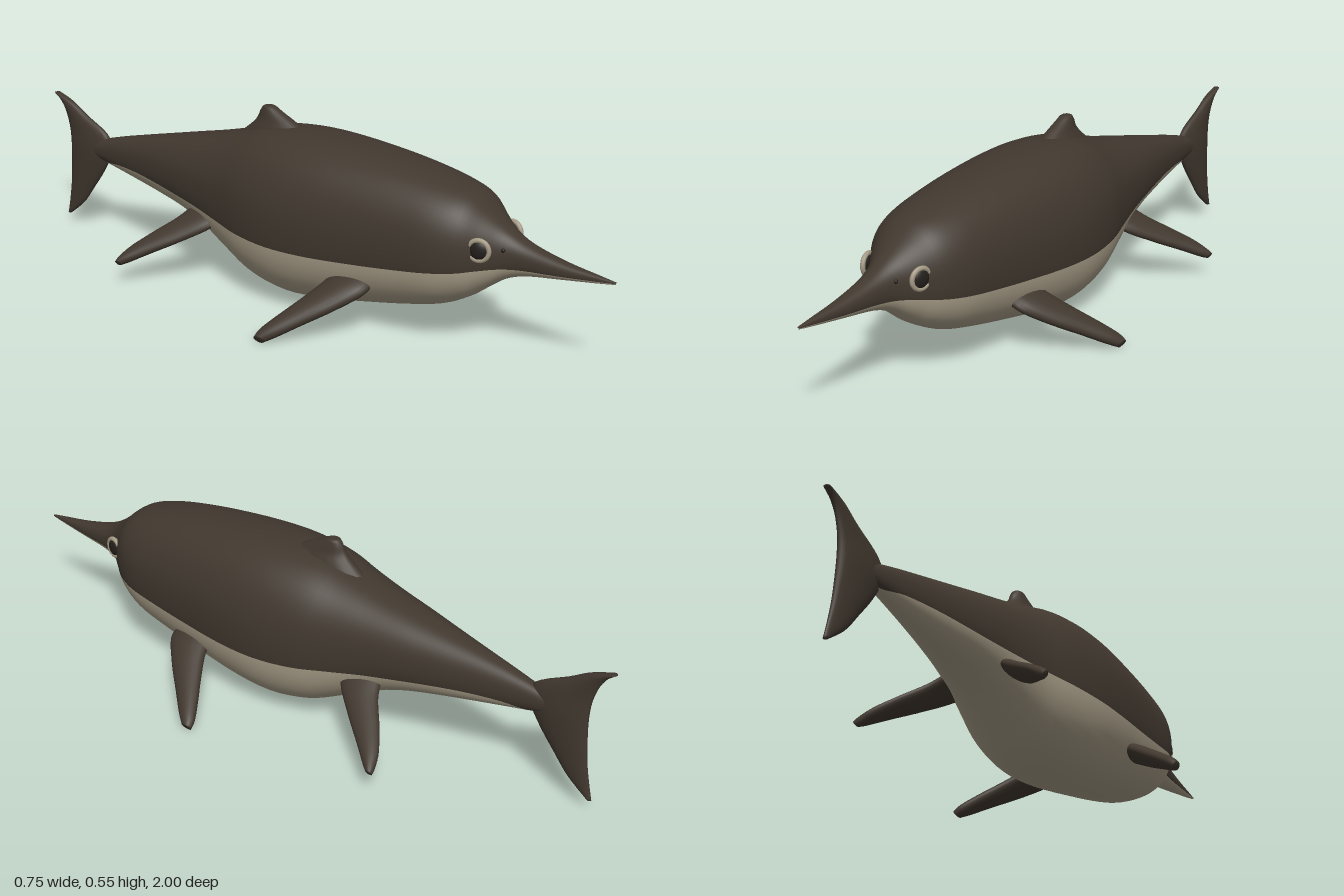
import * as THREE from 'three';

const mat = (name, color) => Object.assign(new THREE.MeshStandardMaterial({ color }), { name });

// Smooth rows of numbers with a uniform Catmull-Rom spline, n steps per span
function smooth(rows, n) {
  const out = [];
  const at = i => rows[Math.max(0, Math.min(rows.length - 1, i))];
  for (let i = 0; i < rows.length - 1; i++) {
    for (let k = 0; k < n; k++) {
      const t = k / n;
      out.push(rows[i].map((b, c) => {
        const a = at(i - 1)[c], d = at(i + 1)[c], e = at(i + 2)[c];
        return b + 0.5 * t * (d - a + t * (2 * a - 5 * b + 4 * d - e + t * (3 * (b - d) + e - a)));
      }));
    }
  }
  out.push(rows[rows.length - 1]);
  return out;
}

// Join equal closed rings; columns below `split` go in group 0, the rest in group 1
function loft(rings, split) {
  const m = rings[0].length;
  const index = [[], []];
  for (let i = 0; i < rings.length - 1; i++) {
    for (let j = 0; j < m; j++) {
      const a = i * m + j, b = i * m + (j + 1) % m;
      index[j < split ? 0 : 1].push(a, a + m, b, b, a + m, b + m);
    }
  }
  const geo = new THREE.BufferGeometry();
  geo.setAttribute('position', new THREE.Float32BufferAttribute(rings.flat(2), 3));
  geo.setIndex([...index[0], ...index[1]]);
  geo.addGroup(0, index[0].length, 0);
  geo.addGroup(index[0].length, index[1].length, 1);
  geo.computeVertexNormals();
  return geo;
}

// Lens-shaped fin; rows are [x, y, leading z, trailing z, half thickness] from root to tip
function fin(rows) {
  const first = rows[0], last = rows[rows.length - 1];
  const d = new THREE.Vector2(last[0] - first[0], last[1] - first[1]).normalize();
  const sections = smooth(rows, 5);
  const close = r => [r[0], r[1], (r[2] + r[3]) / 2, (r[2] + r[3]) / 2, 0];
  const all = [close(first), ...sections, close(last)];
  const rings = all.map(([x, y, lead, trail, th]) => {
    const ring = [];
    for (let j = 0; j < 20; j++) {
      const t = j / 20 * Math.PI * 2, s = Math.sin(t) * th;
      ring.push([x - d.y * s, y + d.x * s, (lead + trail) / 2 + (lead - trail) / 2 * Math.cos(t)]);
    }
    return ring;
  });
  return loft(rings, 20);
}

// Body stations: [z, top, bottom, half width, height of the colour line]
const BODY = [
  [1.0, 0.286, 0.280, 0.003, 0.283], [0.95, 0.293, 0.272, 0.010, 0.279],
  [0.85, 0.307, 0.258, 0.024, 0.272], [0.75, 0.332, 0.243, 0.038, 0.267],
  [0.69, 0.362, 0.222, 0.056, 0.262], [0.64, 0.400, 0.187, 0.092, 0.256],
  [0.59, 0.440, 0.150, 0.130, 0.249], [0.52, 0.463, 0.115, 0.157, 0.242],
  [0.42, 0.483, 0.088, 0.172, 0.232], [0.3, 0.499, 0.063, 0.186, 0.222],
  [0.15, 0.511, 0.036, 0.201, 0.213], [0.02, 0.512, 0.025, 0.203, 0.211],
  [-0.1, 0.499, 0.045, 0.186, 0.216], [-0.2, 0.470, 0.090, 0.157, 0.226],
  [-0.3, 0.443, 0.143, 0.130, 0.238], [-0.4, 0.420, 0.180, 0.107, 0.248],
  [-0.5, 0.397, 0.202, 0.083, 0.258], [-0.6, 0.374, 0.220, 0.060, 0.265],
  [-0.7, 0.350, 0.238, 0.040, 0.265], [-0.78, 0.328, 0.253, 0.026, 0.256],
  [-0.86, 0.305, 0.272, 0.014, 0.272], [-0.91, 0.291, 0.287, 0.002, 0.287],
];

function bodyGeometry() {
  const UP = 32, LOW = 24, N = 2.3;
  const power = v => Math.sign(v) * Math.abs(v) ** (2 / N);
  const rings = smooth(BODY, 4).map(([z, top, bottom, w, line]) => {
    const c = (top + bottom) / 2, h = (top - bottom) / 2;
    const u = Math.max(-0.97, Math.min(0.97, (line - c) / h));
    const a0 = Math.asin(Math.sign(u) * Math.abs(u) ** (N / 2));
    const ring = [];
    for (let j = 0; j < UP + LOW; j++) {
      const a = j < UP
        ? a0 + (Math.PI - 2 * a0) * j / UP
        : Math.PI - a0 + (Math.PI + 2 * a0) * (j - UP) / LOW;
      ring.push([w * power(Math.cos(a)), c + h * power(Math.sin(a)), z]);
    }
    return ring;
  });
  return loft(rings, UP);
}

export function createModel() {
  const model = new THREE.Group();
  model.name = 'marineReptile';
  const skin = mat('darkSkin', 0x41382f);
  const belly = mat('paleBelly', 0xaca18b);
  const ringMat = mat('eyeRing', 0xa59a86);
  const pupil = mat('eyeDark', 0x24201c);
  const add = (name, geo, material, parent = model) => {
    const mesh = new THREE.Mesh(geo, material);
    mesh.name = name;
    parent.add(mesh);
    return mesh;
  };

  add('body', bodyGeometry(), [skin, belly]);

  // Crescent tail, from lower to upper tip
  add('tailFin', fin([
    [0, 0.040, -0.955, -0.968, 0.006], [0, 0.090, -0.893, -0.957, 0.010],
    [0, 0.150, -0.845, -0.946, 0.014], [0, 0.220, -0.793, -0.939, 0.019],
    [0, 0.285, -0.760, -0.936, 0.022], [0, 0.340, -0.775, -0.940, 0.019],
    [0, 0.390, -0.865, -0.954, 0.015], [0, 0.425, -0.925, -0.975, 0.013],
    [0, 0.445, -0.982, -1.000, 0.010],
  ]), skin);

  // Low swept-back fin on the back
  add('dorsalFin', fin([
    [0, 0.440, 0.060, -0.250, 0.055], [0, 0.490, 0.020, -0.185, 0.040],
    [0, 0.515, -0.020, -0.160, 0.029], [0, 0.538, -0.068, -0.148, 0.022],
    [0, 0.552, -0.095, -0.138, 0.017], [0, 0.556, -0.105, -0.130, 0.010],
  ]), skin);

  for (const s of [1, -1]) {
    const side = s > 0 ? 'left' : 'right';
    // Paired flippers, root to tip
    add(side + 'FrontFlipper', fin([
      [s * 0.130, 0.170, 0.350, 0.220, 0.026], [s * 0.180, 0.146, 0.345, 0.212, 0.026],
      [s * 0.240, 0.107, 0.292, 0.180, 0.024], [s * 0.300, 0.067, 0.226, 0.143, 0.021],
      [s * 0.345, 0.036, 0.176, 0.118, 0.018], [s * 0.368, 0.019, 0.146, 0.114, 0.013],
    ]), skin);
    add(side + 'RearFlipper', fin([
      [s * 0.080, 0.222, -0.220, -0.345, 0.022], [s * 0.130, 0.190, -0.240, -0.368, 0.022],
      [s * 0.190, 0.150, -0.308, -0.415, 0.020], [s * 0.245, 0.114, -0.378, -0.452, 0.018],
      [s * 0.283, 0.089, -0.425, -0.466, 0.015], [s * 0.300, 0.078, -0.448, -0.468, 0.010],
    ]), skin);

    // Eye with its pale ring, facing outward and slightly forward
    const eye = new THREE.Group();
    eye.name = side + 'Eye';
    eye.position.set(s * 0.090, 0.317, 0.647);
    eye.rotation.y = s * 1.35;
    add('eyeball', new THREE.SphereGeometry(0.026, 20, 14), pupil, eye).scale.z = 0.45;
    add('eyeRing', new THREE.TorusGeometry(0.028, 0.007, 10, 28), ringMat, eye);
    model.add(eye);

    // Nostril
    const nostril = add(side + 'Nostril', new THREE.SphereGeometry(0.006, 10, 8), pupil);
    nostril.position.set(s * 0.049, 0.316, 0.697);
  }
  return model;
}
